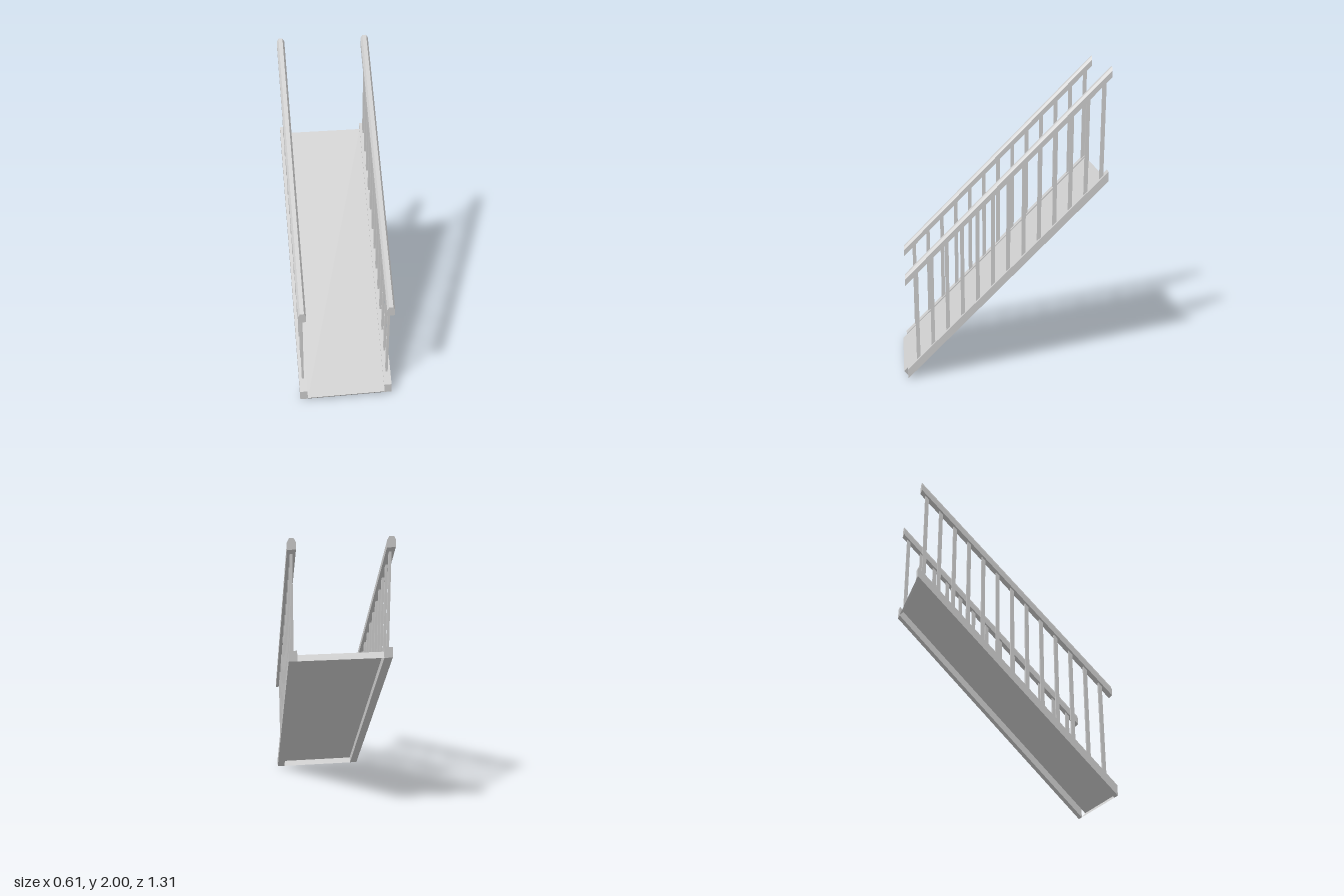
import * as THREE from 'three';

const Z0 = 0.63, Z1 = -0.655, RISE = 1.29;
const slope = RISE / (Z0 - Z1);
const rampY = z => (Z0 - z) * slope;

export function createModel() {
  const group = new THREE.Group();
  const mat = new THREE.MeshStandardMaterial({ color: 0xcccccc, flatShading: true });
  const sheetMat = mat.clone();
  sheetMat.side = THREE.DoubleSide;

  const add = (name, geo, material = mat) => {
    const mesh = new THREE.Mesh(geo, material);
    mesh.name = name;
    group.add(mesh);
    return mesh;
  };

  // Sloping beam with vertical end cuts: extrude the section along z, then shear it upward
  const slopedBeam = points => {
    const shape = new THREE.Shape(points.map(([x, y]) => new THREE.Vector2(x, y)));
    const geo = new THREE.ExtrudeGeometry(shape, { depth: Z0 - Z1, bevelEnabled: false });
    geo.translate(0, 0, Z1);
    const p = geo.attributes.position;
    for (let i = 0; i < p.count; i++) p.setY(i, p.getY(i) + rampY(p.getZ(i)));
    geo.computeVertexNormals();
    return geo;
  };

  // Ramp deck: a shallow tray open underneath, with square-cut ends
  const profile = [[0, 0.63], [0.03, 0.655], [1.32, -0.63], [1.29, -0.655]];
  const verts = [], index = [];
  profile.forEach(([y, z]) => verts.push(-0.255, y, z, 0.255, y, z));
  for (let i = 0; i < 3; i++) {
    const a = i * 2;
    index.push(a, a + 1, a + 3, a, a + 3, a + 2);
  }
  const deck = new THREE.BufferGeometry();
  deck.setAttribute('position', new THREE.Float32BufferAttribute(verts, 3));
  deck.setIndex(index);
  const deckFlat = deck.toNonIndexed();
  deckFlat.computeVertexNormals();
  add('rampDeck', deckFlat, sheetMat);

  const stringer = slopedBeam([[-0.025, 0], [0.025, 0], [0.025, 0.065], [-0.025, 0.065]]);
  const handrail = slopedBeam([
    [-0.025, 0.65], [0.025, 0.65], [0.025, 0.692], [0.013, 0.714], [-0.013, 0.714], [-0.025, 0.692],
  ]);
  const baluster = new THREE.BoxGeometry(0.014, 0.615, 0.024);

  for (const [side, s] of [['left', 1], ['right', -1]]) {
    const x = s * 0.279;
    add(side + 'Stringer', stringer).position.x = x;
    add(side + 'Handrail', handrail).position.x = x;

    // Upright balusters, sunk a little into the beams
    for (let i = 0; i < 13; i++) {
      const z = 0.558 - i * 0.0977;
      add(side + 'Baluster' + (i + 1), baluster).position.set(x, rampY(z) + 0.3575, z);
    }
  }
  return group;
}
